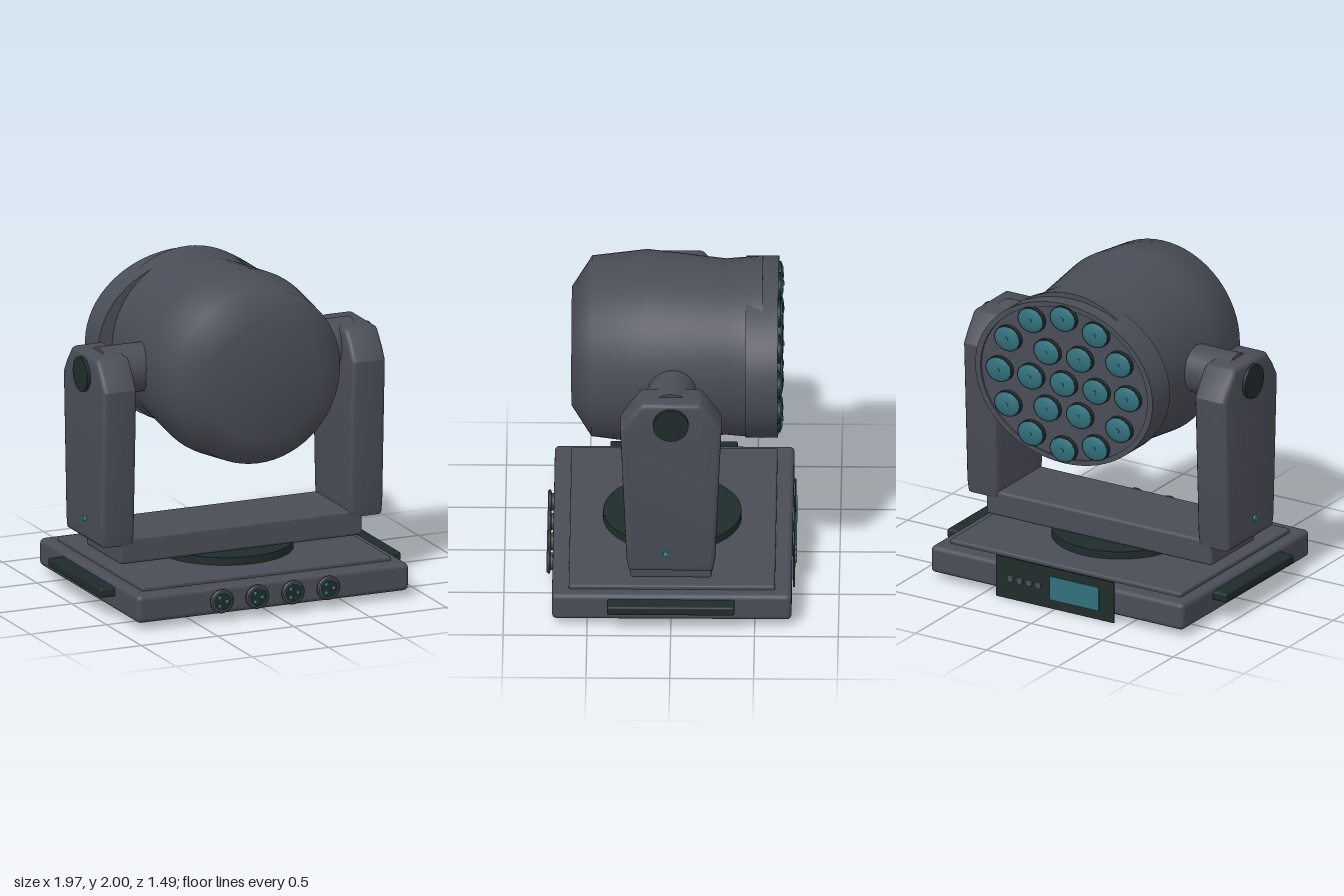
import * as THREE from 'three';
import { toCreasedNormals } from 'three/addons/utils/BufferGeometryUtils.js';
import { RoundedBoxGeometry } from 'three/addons/geometries/RoundedBoxGeometry.js';

const mat = (name, color) => {
  const m = new THREE.MeshStandardMaterial({ color });
  m.name = name;
  return m;
};

export function createModel() {
  const body = mat('charcoal housing', 0x4a4d57);
  const dark = mat('dark trim', 0x1f2c2b);
  const teal = mat('teal lens', 0x31707c);
  const accent = mat('bright teal', 0x2b9a9a);

  const model = new THREE.Group();
  model.name = 'movingHeadLight';

  const add = (name, geometry, material, x = 0, y = 0, z = 0, parent = model) => {
    const mesh = new THREE.Mesh(geometry, material);
    mesh.name = name;
    mesh.position.set(x, y, z);
    parent.add(mesh);
    return mesh;
  };
  const box = (w, h, d, r) => r ? new RoundedBoxGeometry(w, h, d, 3, r) : new THREE.BoxGeometry(w, h, d);
  // Cylinder lying along the chosen axis
  const cyl = (r, len, axis = 'y', seg = 32) => {
    const g = new THREE.CylinderGeometry(r, r, len, seg);
    if (axis === 'x') g.rotateZ(Math.PI / 2);
    if (axis === 'z') g.rotateX(Math.PI / 2);
    return g;
  };
  // Lathe around the z axis, from [radius, z] pairs with rising z
  const latheZ = (pts, seg) =>
    new THREE.LatheGeometry(pts.map(([r, z]) => new THREE.Vector2(r, z)), seg).rotateX(Math.PI / 2);

  // Base
  add('base', box(1.78, 0.17, 1.43, 0.03), body, 0, 0.13, -0.005);
  add('baseTopPlate', box(1.63, 0.05, 1.23, 0.012), body, 0, 0.215, -0.005);
  for (const x of [-0.68, 0.68]) for (const z of [-0.49, 0.49])
    add('foot', cyl(0.088, 0.03), dark, x, 0.035, z);
  for (const s of [-1, 1])
    add('carryHandle', box(0.12, 0.056, 0.76, 0.012), dark, s * 0.925, 0.16, 0);

  // Sockets on the front of the base
  for (const x of [-0.35, -0.118, 0.115, 0.348]) {
    const socket = new THREE.Group();
    socket.name = 'socket';
    socket.position.set(x, 0.132, 0.7);
    model.add(socket);
    const shell = latheZ([[0.052, 0], [0.052, 0.022], [0.074, 0.028], [0.074, 0.038],
      [0.066, 0.046], [0.056, 0.046], [0.056, 0.03], [0, 0.03]], 28);
    add('socketShell', toCreasedNormals(shell, 0.5), body, 0, 0, 0, socket);
    add('socketInsert', cyl(0.056, 0.006, 'z', 28), dark, 0, 0, 0.036, socket);
    for (const [px, py] of [[-0.02, 0.026], [-0.02, -0.026], [0.028, 0]])
      add('socketPin', cyl(0.009, 0.008, 'z', 10), accent, px, py, 0.041, socket);
  }

  // Control panel on the back of the base
  add('controlPanel', box(0.83, 0.262, 0.01), dark, 0, 0.133, -0.73);
  add('displayScreen', box(0.345, 0.15, 0.009), teal, -0.14, 0.135, -0.738);
  for (let i = 0; i < 4; i++)
    add('panelButton', cyl(0.022, 0.012, 'z', 16), body, 0.115 + i * 0.065, 0.135, -0.74);

  // Turntable and yoke
  add('turntable', cyl(0.413, 0.05, 'y', 48), dark, 0, 0.262, 0);
  add('yokeCrossbar', box(1.59, 0.16, 0.488, 0.02), body, 0, 0.36, 0);

  const profile = new THREE.Shape([
    [-0.25, 0.4], [0.25, 0.4], [0.265, 0.48], [0.302, 1.37], [0.255, 1.45],
    [0.185, 1.54], [0.165, 1.55], [-0.165, 1.55], [-0.185, 1.54], [-0.255, 1.45],
    [-0.302, 1.37], [-0.265, 0.48]
  ].map(p => new THREE.Vector2(...p)));
  const armGeo = toCreasedNormals(new THREE.ExtrudeGeometry(profile, {
    depth: 0.16, bevelEnabled: true, bevelSize: 0.03, bevelOffset: -0.03,
    bevelThickness: 0.03, bevelSegments: 3
  }).translate(0, 0, -0.08).rotateY(Math.PI / 2), 0.55);
  for (const s of [-1, 1]) {
    add('yokeArm', armGeo, body, s * 0.815, 0, 0);
    add('tiltAxle', cyl(0.148, 0.33, 'x', 36), body, s * 0.66, 1.422, 0);
    add('pivotCap', cyl(0.106, 0.03, 'x', 36), dark, s * 0.931, 1.42, 0);
    add('armIndicator', cyl(0.015, 0.022, 'x', 12), accent, s * 0.928, 0.53, 0.03);
  }

  // Tilting head
  const head = new THREE.Group();
  head.name = 'head';
  head.position.y = 1.42;
  model.add(head);
  add('headShell', latheZ([[0.545, -0.54], [0.526, -0.32], [0.58, 0.15],
    [0.54, 0.48], [0.355, 0.6], [0, 0.6]], 64), body, 0, 0, 0, head);
  add('headShellEnd', new THREE.CircleGeometry(0.545, 64).rotateY(Math.PI), body, 0, 0, -0.54, head);

  // Oval bezel with a recessed lamp face
  const bezel = latheZ([[0, -0.622], [0.94, -0.622], [0.94, -0.634], [1, -0.634],
    [1, -0.44], [0, -0.44]], 64).scale(0.625, 0.512, 1);
  add('lampBezel', toCreasedNormals(bezel, 0.5), body, 0, 0, 0, head);

  // Lamps: one in the middle, then rings of six and twelve
  const rim = cyl(1, 0.03, 'z', 28).scale(0.092, 0.08, 1);
  const lens = toCreasedNormals(
    latheZ([[0, -0.012], [0.7, -0.01], [1, 0], [1, 0.01]], 28).scale(0.084, 0.073, 1), 0.7);
  const bead = cyl(0.014, 0.006, 'z', 12);
  for (const [count, rx, ry] of [[1, 0, 0], [6, 0.23, 0.21], [12, 0.452, 0.42]])
    for (let i = 0; i < count; i++) {
      const a = i / count * Math.PI * 2;
      const x = rx * Math.cos(a), y = ry * Math.sin(a);
      add('lampRim', rim, dark, x, y, -0.633, head);
      add('lampLens', lens, teal, x, y, -0.649, head);
      add('lampBead', bead, teal, x, y, -0.661, head);
    }

  return model;
}
